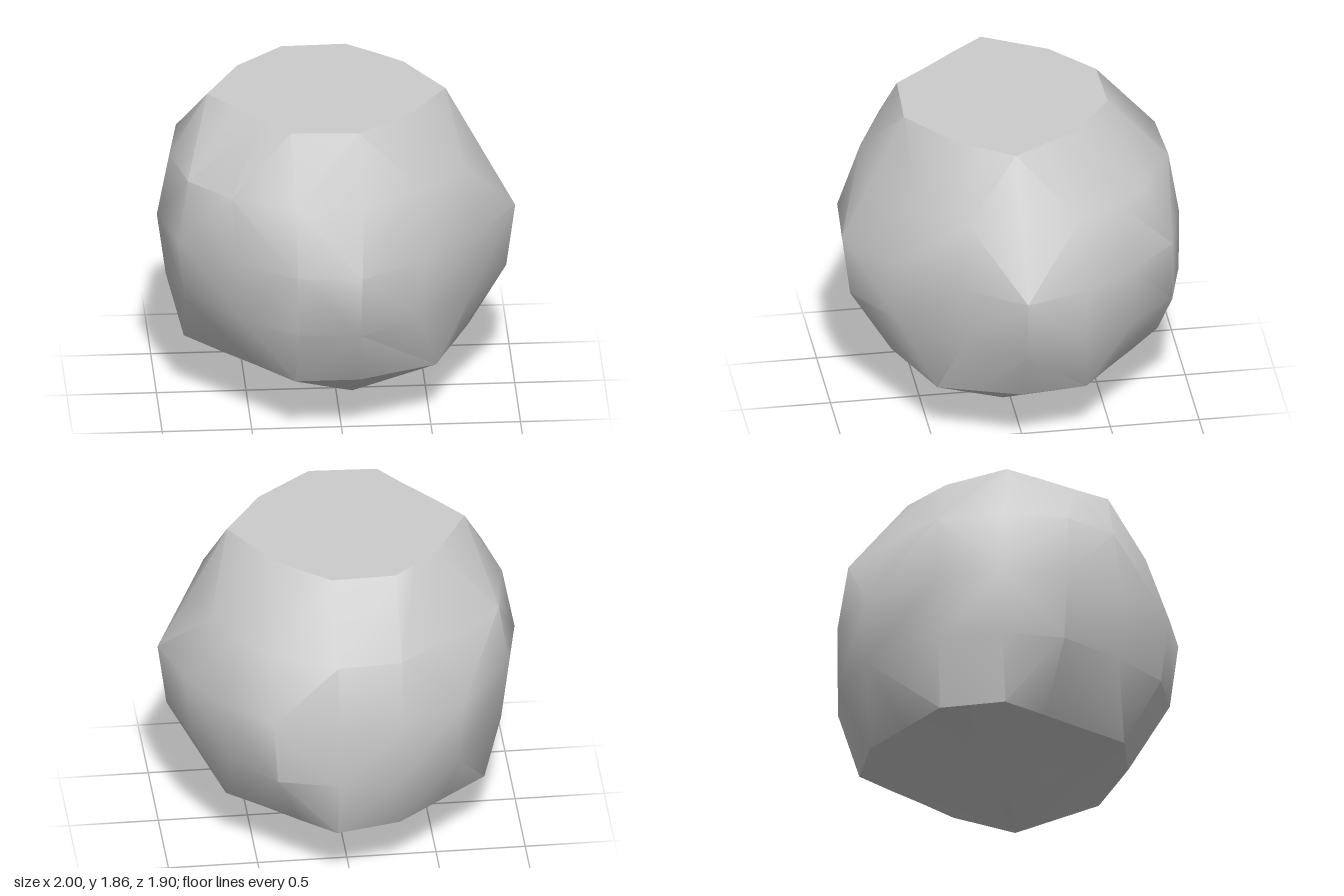
import * as THREE from 'three';
import { toCreasedNormals } from 'three/addons/utils/BufferGeometryUtils.js';

// Horizontal cross-sections, x and z pairs, starting at +x and turning towards +z
const topRim = [.61, .05, .5, .21, .4, .36, .09, .6, -.29, .58, -.43, .4, -.58, .22, -.72, .04,
  -.53, -.31, -.4, -.425, -.27, -.54, .09, -.55, .27, -.41, .4, -.3, .5, -.13];
const shoulder = [.8, .04, .71, .33, .45, .57, .11, .79, -.27, .79, -.62, .63, -.85, .39, -.93, .03,
  -.87, -.34, -.56, -.63, -.27, -.87, .09, -.89, .42, -.7, .6, -.54, .74, -.29];
const belly = [1, .04, .78, .38, .45, .72, .09, .95, -.27, .92, -.6, .69, -.9, .39, -1, .03,
  -.93, -.33, -.63, -.75, -.27, -.93, .09, -.95, .45, -.86, .7, -.6, .89, -.31];
const base = [.74, .04, .64, .25, .53, .48, .09, .67, -.27, .67, -.46, .46, -.66, .25, -.85, .04,
  -.79, -.33, -.53, -.54, -.27, -.75, .09, -.83, .28, -.67, .47, -.5, .66, -.34];

const ring = (pairs, y) => Array.from({ length: pairs.length / 2 },
  (_, i) => new THREE.Vector3(pairs[2 * i], y, pairs[2 * i + 1]));

function geometryFrom(triangles) {
  const geo = new THREE.BufferGeometry().setFromPoints(triangles);
  return toCreasedNormals(geo, 0.6);
}

// Distance of an edge's midpoint from the vertical axis
const reach = (p, q) => Math.hypot(p.x + q.x, p.z + q.z) / 2;

// Skin between two rings, lower first; each quad is folded outwards
function band(lower, upper) {
  const out = [];
  lower.forEach((a, i) => {
    const j = (i + 1) % lower.length;
    const b = lower[j], c = upper[i], d = upper[j];
    if (reach(a, d) > reach(b, c)) out.push(a, c, d, a, d, b);
    else out.push(a, c, b, b, c, d);
  });
  return out;
}

// Fan from a ring to one point
function fan(points, tip, up) {
  const out = [];
  points.forEach((a, i) => {
    const b = points[(i + 1) % points.length];
    out.push(tip, ...(up ? [b, a] : [a, b]));
  });
  return out;
}

export function createModel() {
  const group = new THREE.Group();
  group.name = 'cutStone';
  const grey = new THREE.MeshStandardMaterial({ color: 0xcccccc });
  grey.name = 'stone grey';

  const tip = new THREE.Vector3(.09, 0, .04);
  const rim = ring(topRim, 1.86);
  const waist = ring(belly, 1.12);
  const lowerBelly = waist.map(p => new THREE.Vector3(p.x * .95, .75, p.z < 0 ? p.z : p.z * .95));
  const foot = ring(base, .37);
  foot[0].y = .395;
  foot[1].y = .378;
  foot[2].y = .36;
  // Underside dips in slightly halfway to the tip, at the back and left only
  const under = foot.map(p => p.clone().lerp(tip, .5)
    .setY(p.y / 2 + (p.x < -.3 || p.z < -.4 ? .018 : 0)));

  const rings = [foot, lowerBelly, waist, ring(shoulder, 1.49), rim];
  const parts = {
    body: rings.slice(1).flatMap((r, i) => band(rings[i], r)),
    flatTop: fan(rim, new THREE.Vector3(0, 1.86, .03), true),
    pointedBase: [...band(under, foot), ...fan(under, tip, false)],
  };
  for (const [name, triangles] of Object.entries(parts)) {
    const mesh = new THREE.Mesh(geometryFrom(triangles), grey);
    mesh.name = name;
    group.add(mesh);
  }
  return group;
}
